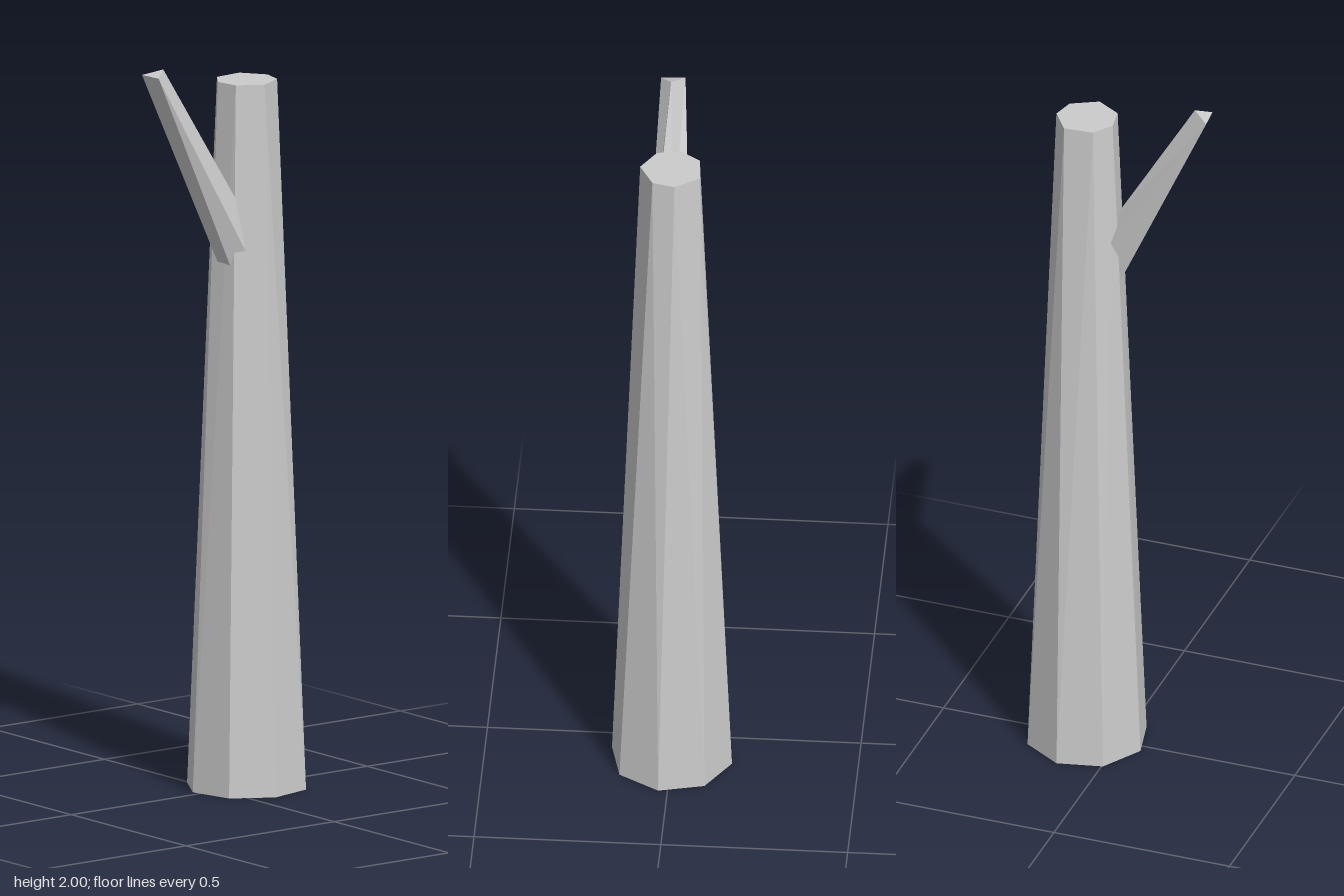
import * as THREE from 'three';

// Flat-shaded loft between two rings of [x, y, z], counter-clockwise as seen from the end ring
function loft(name, start, end) {
  const n = start.length;
  const positions = [];
  const tri = (...corners) => {
    const [a, b, c] = corners.map((p) => new THREE.Vector3(...p));
    const area = b.clone().sub(a).cross(c.clone().sub(a)).length();
    if (area > 1e-7) corners.forEach((p) => positions.push(...p)); // skip merged corners
  };
  for (let i = 0; i < n; i++) {
    const j = (i + 1) % n;
    tri(start[i], start[j], end[j]);
    tri(start[i], end[j], end[i]);
  }
  // End caps
  for (let i = 1; i < n - 1; i++) {
    tri(end[0], end[i], end[i + 1]);
    tri(start[0], start[i + 1], start[i]);
  }
  const geometry = new THREE.BufferGeometry();
  geometry.setAttribute('position', new THREE.Float32BufferAttribute(positions, 3));
  geometry.computeVertexNormals();
  const mesh = new THREE.Mesh(
    geometry,
    new THREE.MeshStandardMaterial({ color: 0xcccccc, flatShading: true })
  );
  mesh.name = name;
  return mesh;
}

const level = (y, points) => points.map(([x, z]) => [x, y, z]);

export function createModel() {
  const model = new THREE.Group();
  model.name = 'deadTree';

  // Trunk: eight-sided foot tapering to a slightly twisted seven-sided top
  const foot = level(0, [
    [0.025, -0.255], [-0.097, -0.225], [-0.163, -0.118], [-0.135, 0.004],
    [-0.025, 0.07], [0.097, 0.042], [0.162, -0.065], [0.133, -0.19],
  ]);
  const crown = level(1.93, [
    [0.047, -0.159], [-0.013, -0.174], [-0.078, -0.128], [-0.072, -0.048],
    [-0.02, -0.011], [0.045, -0.021], [0.085, -0.087], [0.085, -0.087],
  ]);
  model.add(loft('trunk', foot, crown));

  // Branch: six-sided root set in the trunk, closing to a three-sided tip
  const root = [
    [-0.042, 1.57, -0.012], [0.0, 1.44, 0.004], [0.045, 1.44, -0.002],
    [0.073, 1.475, -0.036], [0.055, 1.62, -0.015], [0.005, 1.64, -0.008],
  ];
  const [left, right, upper] = [[-0.012, 1.985, 0.252], [0.053, 1.985, 0.246], [0.023, 2, 0.207]];
  model.add(loft('branch', root, [left, left, right, right, upper, upper]));

  return model;
}
